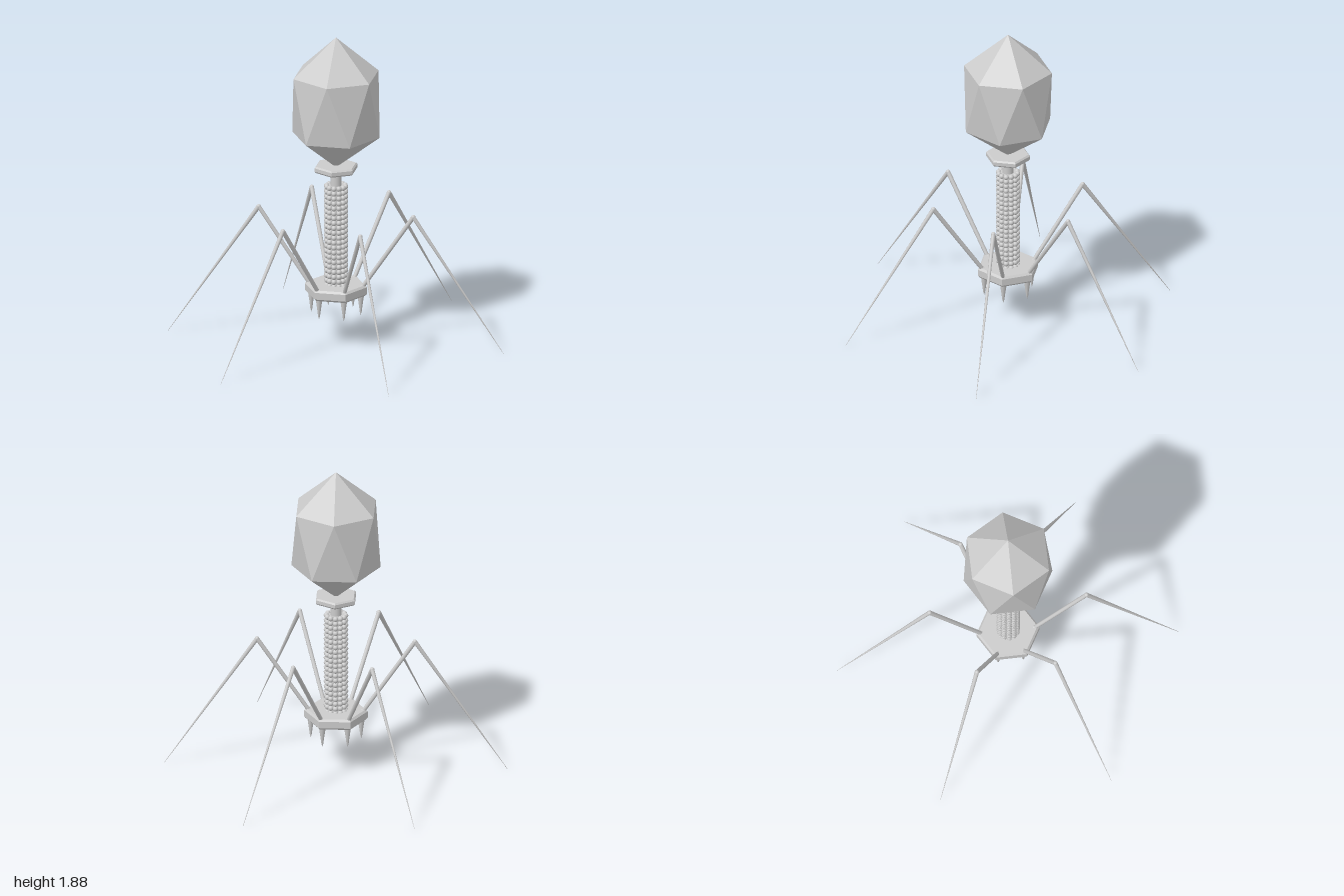
import * as THREE from 'three';
import { mergeGeometries } from 'three/addons/utils/BufferGeometryUtils.js';
import { ConvexGeometry } from 'three/addons/geometries/ConvexGeometry.js';

const flat = new THREE.MeshStandardMaterial({ color: 0xcccccc, flatShading: true });
const smooth = new THREE.MeshStandardMaterial({ color: 0xcccccc });
const v = (x, y, z = 0) => new THREE.Vector3(x, y, z);

function part(name, geometry, material) {
  const mesh = new THREE.Mesh(geometry, material);
  mesh.name = name;
  return mesh;
}

// Six points on a circle; turn 0 puts a corner on +x
function hexRing(radius, y, turn) {
  return Array.from({ length: 6 }, (_, i) => {
    const a = turn + i * Math.PI / 3;
    return v(radius * Math.cos(a), y, radius * Math.sin(a));
  });
}

// Hexagonal plate with chamfered rims
function hexPlate(radius, y0, y1, bevel, turn) {
  const profile = [
    [0, y0], [radius - bevel, y0], [radius, y0 + bevel],
    [radius, y1 - bevel], [radius - bevel, y1], [0, y1],
  ].map(([r, y]) => new THREE.Vector2(r, y));
  return new THREE.LatheGeometry(profile, 6).rotateY(turn);
}

// Tapered rod running from a to b
function rod(a, b, ra, rb) {
  const dir = b.clone().sub(a);
  const g = new THREE.CylinderGeometry(rb, ra, dir.length(), 8);
  g.applyQuaternion(new THREE.Quaternion().setFromUnitVectors(v(0, 1), dir.normalize()));
  const mid = a.clone().add(b).multiplyScalar(0.5);
  return g.translate(mid.x, mid.y, mid.z);
}

export function createModel() {
  const model = new THREE.Group();
  model.name = 'bacteriophage';

  // Faceted head: two hexagon rings twisted against each other, with two tips
  const head = new ConvexGeometry([
    v(0, 1.88), ...hexRing(0.26, 1.65, Math.PI / 6),
    ...hexRing(0.26, 1.28, 0), v(0, 1.08),
  ]);
  model.add(part('head', head, flat));

  // Collar, neck and tail core
  model.add(part('collar', hexPlate(0.131, 1.057, 1.096, 0.009, 0), flat));
  model.add(part('neck', new THREE.CylinderGeometry(0.033, 0.033, 0.12, 20).translate(0, 1.03, 0), smooth));
  model.add(part('tailCore', new THREE.CylinderGeometry(0.05, 0.05, 0.63, 24).translate(0, 0.655, 0), smooth));

  // Tail sheath: stacked rings of beads
  const beads = [];
  const rows = 21, columns = 12;
  for (let row = 0; row < rows; row++) {
    const y = 0.36 + row * 0.0302;
    for (let i = 0; i < columns; i++) {
      const a = i * 2 * Math.PI / columns;
      beads.push(new THREE.SphereGeometry(0.0158, 12, 8)
        .translate(0.056 * Math.cos(a), y, 0.056 * Math.sin(a)));
    }
  }
  model.add(part('tailSheath', mergeGeometries(beads), smooth));

  // Base plate
  model.add(part('basePlate', hexPlate(0.185, 0.3, 0.365, 0.012, Math.PI / 6), flat));

  // Six jointed legs and six spikes
  const hip = v(0.155, 0.35), knee = v(0.46, 0.805), foot = v(1, 0);
  const legGeometry = mergeGeometries([
    rod(hip, knee, 0.012, 0.013),
    rod(knee, foot, 0.013, 0.001),
    new THREE.SphereGeometry(0.0135, 10, 8).translate(knee.x, knee.y, 0),
    new THREE.SphereGeometry(0.018, 10, 8).translate(hip.x, hip.y, 0),
  ]);
  const spikeProfile = [[0, 0.18], [0.006, 0.2], [0.011, 0.24], [0.019, 0.295], [0.019, 0.31]]
    .map(([r, y]) => new THREE.Vector2(r, y));
  const spikeGeometry = new THREE.LatheGeometry(spikeProfile, 12).translate(0.147, 0, 0);
  for (let i = 0; i < 6; i++) {
    const leg = part('leg' + (i + 1), legGeometry, smooth);
    const spike = part('spike' + (i + 1), spikeGeometry, smooth);
    leg.rotation.y = spike.rotation.y = i * Math.PI / 3;
    model.add(leg, spike);
  }
  return model;
}
